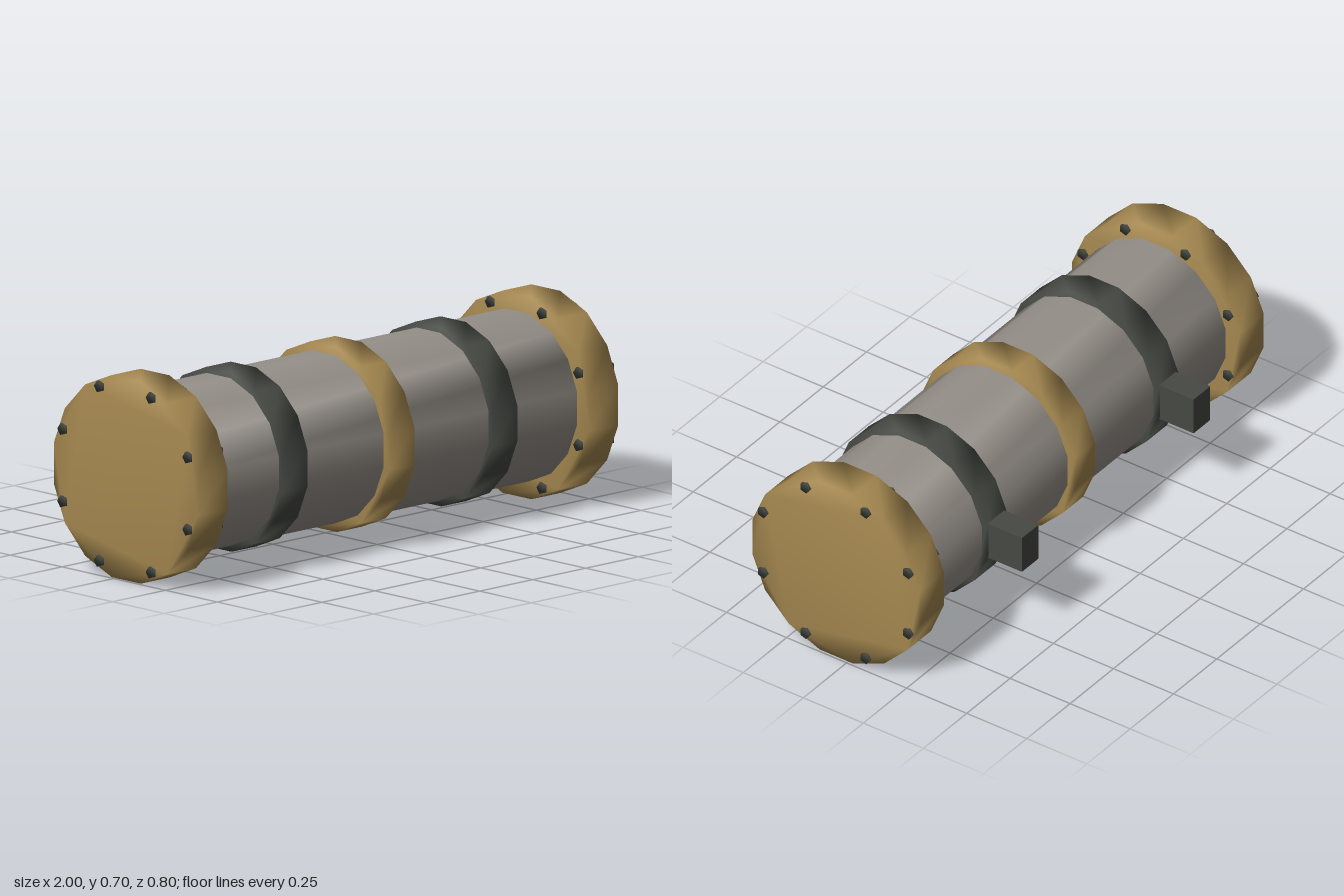
import * as THREE from 'three';
import { mergeVertices } from 'three/addons/utils/BufferGeometryUtils.js';

const AXIS_Y = 0.35, AXIS_Z = 0.05;
const paint = (color) => new THREE.MeshStandardMaterial({ color });
const brass = paint(0xa58850), steel = paint(0x969089), iron = paint(0x464943);

// Solid regular prism lying along x, with normals shared over all its faces
function prism(radius, length, sides, phase) {
  const points = [];
  for (let i = 0; i < sides; i++) {
    const a = phase + (i / sides) * Math.PI * 2;
    points.push(new THREE.Vector2(Math.cos(a) * radius, Math.sin(a) * radius));
  }
  let geo = new THREE.ExtrudeGeometry(new THREE.Shape(points), { depth: length, bevelEnabled: false });
  geo.translate(0, 0, -length / 2);
  geo.rotateY(Math.PI / 2);
  geo.deleteAttribute('normal');
  geo.deleteAttribute('uv');
  geo = mergeVertices(geo, 1e-4);
  geo.computeVertexNormals();
  return geo;
}

// Sixteen-sided drum, flat on top, measured across its flats
const drum = (apothem, length) =>
  prism(apothem / Math.cos(Math.PI / 16), length, 16, Math.PI / 16);

export function createModel() {
  const model = new THREE.Group();
  model.name = 'flangedPipe';
  const add = (name, geo, mat, x, y = AXIS_Y, z = AXIS_Z) => {
    const mesh = new THREE.Mesh(geo, mat);
    mesh.name = name;
    mesh.position.set(x, y, z);
    model.add(mesh);
  };

  // Pipe body and centre ring
  add('pipeBody', drum(0.29, 1.84), steel, 0);
  add('centreRing', drum(0.32, 0.116), brass, 0);

  const flange = drum(0.35, 0.136);
  const clamp = drum(0.31, 0.116);
  const bracket = new THREE.BoxGeometry(0.096, 0.14, 0.16);
  const bolt = prism(0.021, 0.156, 5, 0);

  for (const [side, s] of [['left', 1], ['right', -1]]) {
    // End flange, clamp band and wall bracket
    add(side + 'Flange', flange, brass, s * 0.922);
    add(side + 'ClampBand', clamp, iron, s * 0.495);
    add(side + 'WallBracket', bracket, iron, s * 0.495, AXIS_Y, -0.32);

    // Eight bolts through each flange
    for (let i = 0; i < 8; i++) {
      const a = ((i + 0.5) / 8) * Math.PI * 2;
      add(side + 'FlangeBolt', bolt, iron, s * 0.922,
        AXIS_Y + 0.327 * Math.sin(a), AXIS_Z + 0.327 * Math.cos(a));
    }
  }
  return model;
}
